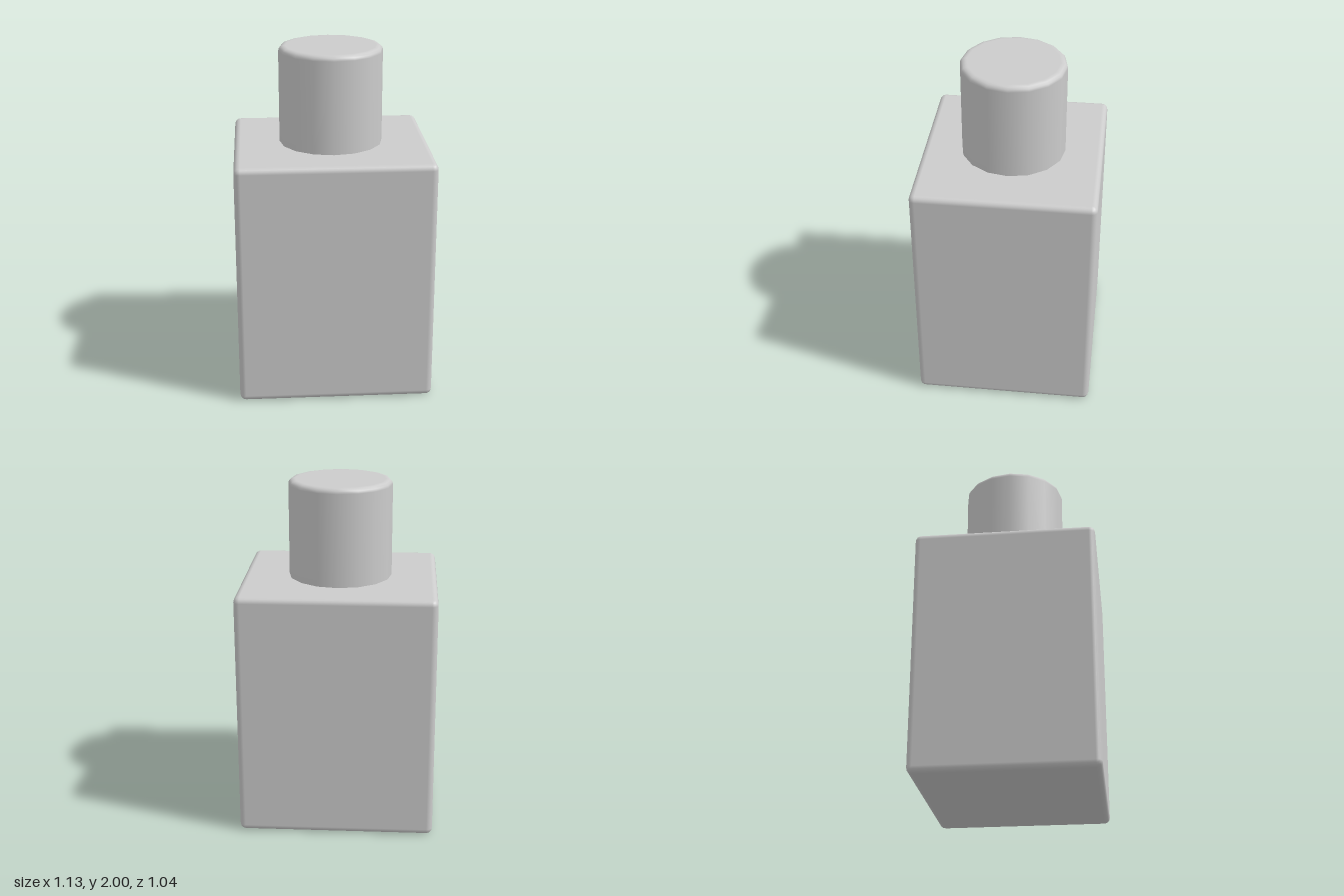
import * as THREE from 'three';
import { RoundedBoxGeometry } from 'three/addons/geometries/RoundedBoxGeometry.js';

export function createModel() {
  const group = new THREE.Group();
  const material = new THREE.MeshStandardMaterial({ color: 0xcccccc });

  // Bottle body: a block with softly rounded edges
  const bodyHeight = 1.435;
  const body = new THREE.Mesh(new RoundedBoxGeometry(1.13, bodyHeight, 1.036, 2, 0.035), material);
  body.name = 'bottleBody';
  body.position.y = bodyHeight / 2;
  group.add(body);

  // Cap: sixteen-sided cylinder with a rounded top rim, set slightly into the body
  const radius = 0.3, top = 2, bevel = 0.03;
  const profile = [
    new THREE.Vector2(0, bodyHeight - 0.02),
    new THREE.Vector2(radius, bodyHeight - 0.02),
    new THREE.Vector2(radius, bodyHeight),
  ];
  for (let i = 0; i <= 3; i++) {
    const a = (i / 3) * Math.PI / 2;
    profile.push(new THREE.Vector2(radius - bevel + bevel * Math.cos(a), top - bevel + bevel * Math.sin(a)));
  }
  profile.push(new THREE.Vector2(radius - bevel - 0.01, top), new THREE.Vector2(0, top));
  const cap = new THREE.Mesh(new THREE.LatheGeometry(profile, 16), material);
  cap.name = 'cap';
  group.add(cap);

  return group;
}
